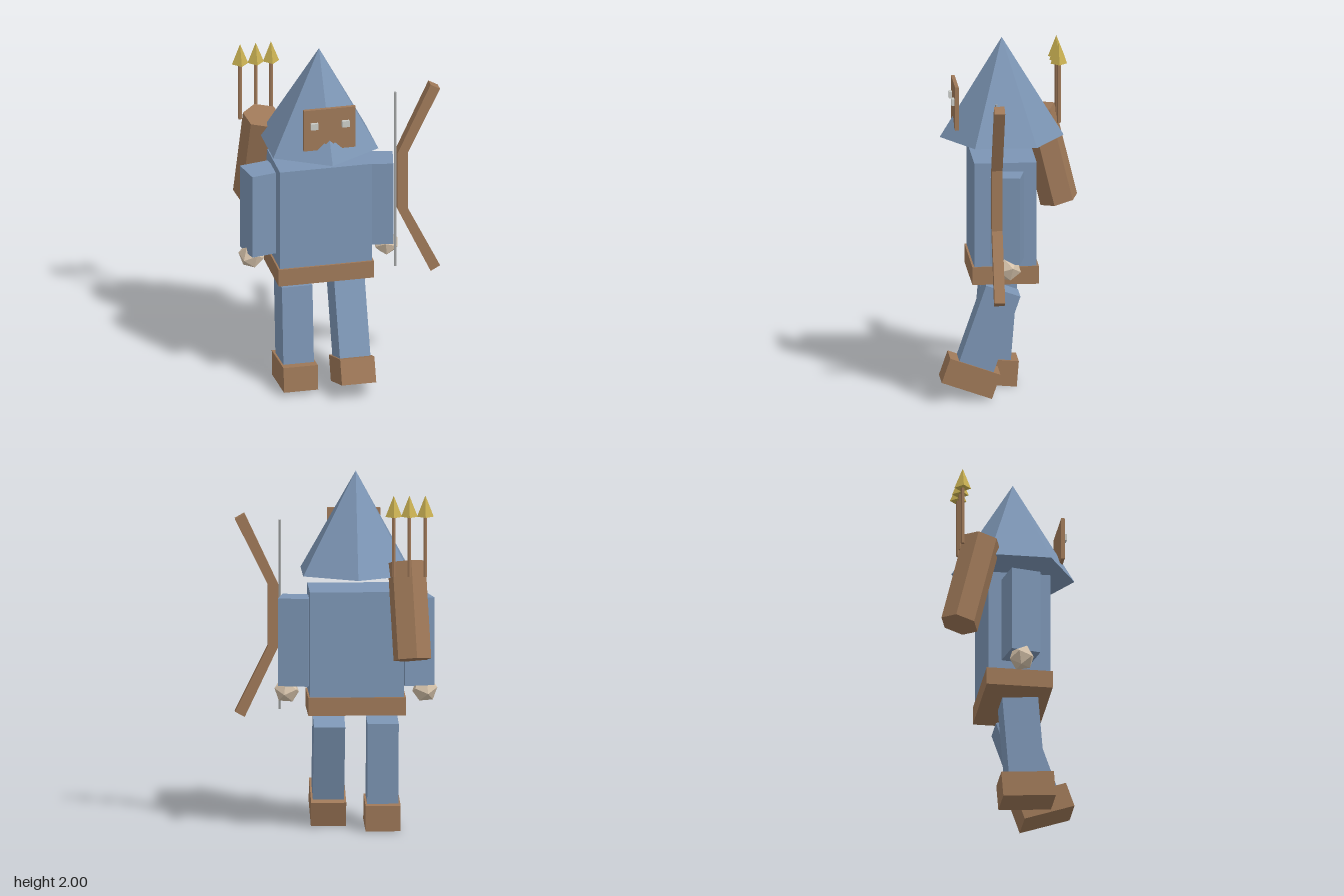
import * as THREE from 'three';

export function createModel() {
  const mat = (name, color) => {
    const m = new THREE.MeshStandardMaterial({ color, flatShading: true });
    m.name = name;
    return m;
  };
  const blue = mat('blue cloth', 0x7c95b4);
  const brown = mat('brown leather', 0x9e7858);
  const skin = mat('pale skin', 0xd6c3ab);
  const gold = mat('gold', 0xc9b052);
  const pale = mat('pale grey', 0xc9cbc6);
  const grey = mat('string grey', 0xa4a6a6);

  const root = new THREE.Group();
  root.name = 'archer';
  // The body is symmetric about its own axis; gear hangs off both sides.
  const body = new THREE.Group();
  body.name = 'body';
  body.position.set(-0.106, 0, 0.045);
  const gear = new THREE.Group();
  gear.name = 'gear';
  root.add(body, gear);

  const add = (parent, name, geo, material, pos, rot = [0, 0, 0]) => {
    const m = new THREE.Mesh(geo, material);
    m.name = name;
    m.position.set(...pos);
    m.rotation.set(...rot);
    parent.add(m);
    return m;
  };
  const box = (w, h, d) => new THREE.BoxGeometry(w, h, d);
  const extrude = (points, depth) => new THREE.ExtrudeGeometry(
    new THREE.Shape(points.map(([x, y]) => new THREE.Vector2(x, y))),
    { depth, bevelEnabled: false });

  // Torso, belt and pointed hood
  add(body, 'torso', box(0.518, 0.61, 0.344), blue, [0, 1.045, 0]);
  add(body, 'belt', box(0.537, 0.1, 0.367), brown, [0, 0.715, 0]);
  add(body, 'hood', new THREE.ConeGeometry(0.342, 0.56, 6), blue, [0, 1.72, 0]);

  // Mask with a notched lower edge
  const half = [[0, 1.525], [0.03, 1.548], [0.07, 1.51], [0.146, 1.51], [0.146, 1.754]];
  const mirrored = half.slice(1).reverse().map(([x, y]) => [-x, y]);
  add(body, 'mask', extrude([...half, ...mirrored], 0.02), brown, [0, 0, 0.248]);

  for (const s of [1, -1]) {
    const side = s > 0 ? 'left' : 'right';
    add(body, side + 'Eye', box(0.042, 0.037, 0.018), pale, [s * 0.088, 1.659, 0.276]);
    add(body, side + 'Arm', box(0.167, 0.488, 0.167), blue, [s * 0.332, 1.058, -0.002], [0, -s * 0.2, 0]);
    add(body, side + 'Hand', new THREE.IcosahedronGeometry(0.073, 0), skin,
      [s * 0.38, 0.783, -0.005], [0.3, -s * 0.2, s * 0.1]);
  }

  // Striding legs: tilt, then leg and boot centres as [y, z]
  const legs = [
    ['left', 0.147, -0.335, [0.404, 0.084], [0.127, 0.188]],
    ['right', -0.147, -0.08, [0.386, 0.026], [0.088, 0.053]],
  ];
  for (const [side, x, tilt, leg, boot] of legs) {
    add(body, side + 'Leg', box(0.172, 0.452, 0.2), blue, [x, ...leg], [tilt, 0, 0]);
    add(body, side + 'Boot', box(0.193, 0.144, 0.293), brown, [x, ...boot], [tilt, 0, 0]);
  }

  // Bow and string
  add(gear, 'bow', extrude([
    [0.317, 1.36], [0.317, 1.02], [0.503, 0.627], [0.556, 0.656],
    [0.375, 1.02], [0.375, 1.36], [0.556, 1.727], [0.503, 1.757],
  ], 0.058), brown, [0, 0, 0.079]);
  add(gear, 'bowString', new THREE.CylinderGeometry(0.007, 0.007, 1.053, 6), grey, [0.309, 1.193, 0.108]);

  // Quiver leaning on the back
  add(gear, 'quiver', new THREE.CylinderGeometry(0.108, 0.108, 0.54, 6), brown,
    [-0.39, 1.262, -0.23], [0.25, 0.2, -0.05]);

  // Arrows
  for (const x of [-0.475, -0.387, -0.301]) {
    add(gear, 'arrowShaft', new THREE.CylinderGeometry(0.011, 0.011, 0.35, 6), brown, [x, 1.635, -0.286]);
    add(gear, 'arrowHead', new THREE.ConeGeometry(0.046, 0.118, 4), gold, [x, 1.853, -0.286]);
  }
  return root;
}
